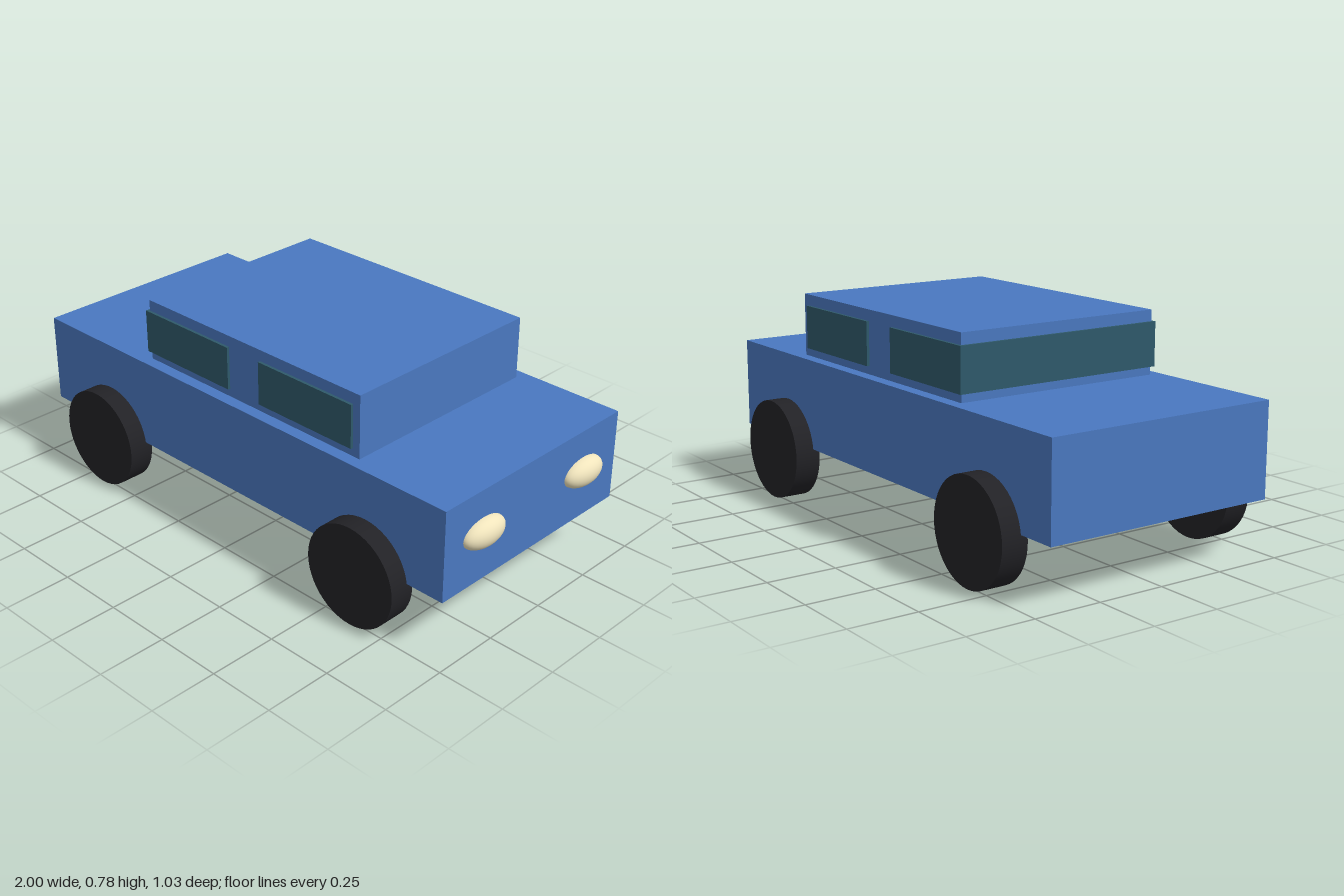
import * as THREE from 'three';

const paint = new THREE.MeshStandardMaterial({ color: 0x4a78c0 });
const glass = new THREE.MeshStandardMaterial({ color: 0x2f5a6b });
const rubber = new THREE.MeshStandardMaterial({ color: 0x222226 });
const lamp = new THREE.MeshStandardMaterial({ color: 0xf0e4bc });

// Box given by its x and y limits and half its depth
function box(name, material, x0, x1, y0, y1, halfZ) {
  const mesh = new THREE.Mesh(new THREE.BoxGeometry(x1 - x0, y1 - y0, halfZ * 2), material);
  mesh.position.set((x0 + x1) / 2, (y0 + y1) / 2, 0);
  mesh.name = name;
  return mesh;
}

export function createModel() {
  const car = new THREE.Group();
  car.name = 'car';

  // Lower body and cabin
  car.add(box('body', paint, -1, 0.952, 0.212, 0.547, 0.444));
  car.add(box('cabin', paint, -0.47, 0.552, 0.547, 0.777, 0.4));

  // Full-width glass blocks; the rear one also stands proud of the cabin's back
  car.add(box('rearWindows', glass, -0.48, -0.056, 0.577, 0.736, 0.41));
  car.add(box('frontWindows', glass, 0.096, 0.522, 0.577, 0.736, 0.41));

  const wheelGeometry = new THREE.CylinderGeometry(0.186, 0.186, 0.097, 48).rotateX(Math.PI / 2);
  const lampGeometry = new THREE.SphereGeometry(1, 32, 20).scale(0.048, 0.052, 0.096);

  for (const side of [-1, 1]) {
    // Wheels
    for (const [name, x] of [['rearWheel', -0.668], ['frontWheel', 0.62]]) {
      const wheel = new THREE.Mesh(wheelGeometry, rubber);
      wheel.position.set(x, 0.186, side * 0.4675);
      wheel.name = name;
      car.add(wheel);
    }

    // Headlights
    const headlight = new THREE.Mesh(lampGeometry, lamp);
    headlight.position.set(0.952, 0.393, side * 0.259);
    headlight.name = 'headlight';
    car.add(headlight);
  }

  return car;
}
